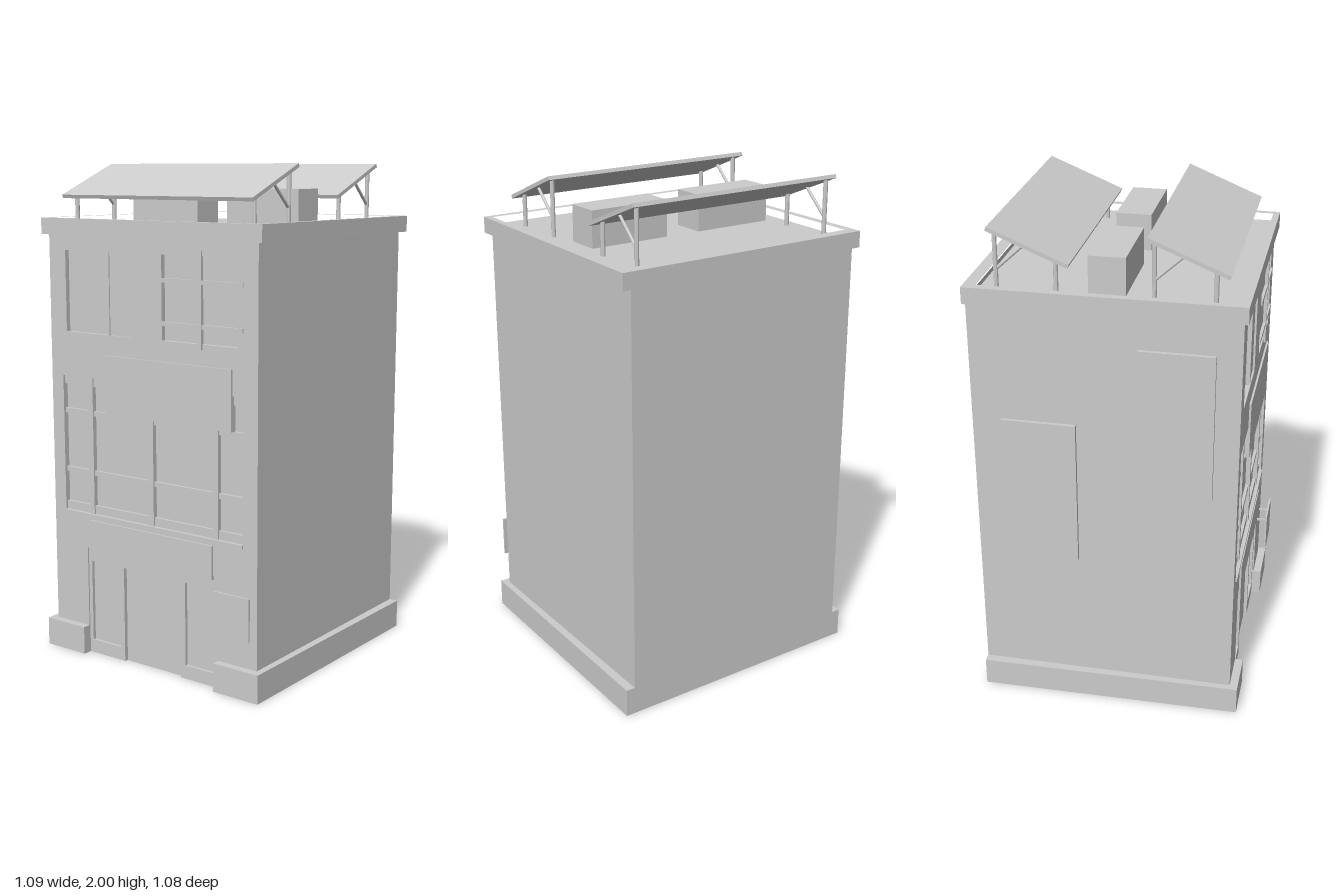
import * as THREE from 'three';

const material = new THREE.MeshStandardMaterial({ color: 0xcccccc, flatShading: true });
const thin = new THREE.MeshStandardMaterial({ color: 0xcccccc, flatShading: true, side: THREE.DoubleSide });
const FRONT = 0.49, BACK = -0.535, HALF = 0.51, WALL_TOP = 1.725;

function add(parent, name, geometry, mat = material) {
  const mesh = new THREE.Mesh(geometry, mat);
  mesh.name = name;
  parent.add(mesh);
  return mesh;
}

// Box given by its limits on each axis
function box(parent, name, x0, x1, y0, y1, z0, z1) {
  const mesh = add(parent, name, new THREE.BoxGeometry(x1 - x0, y1 - y0, z1 - z0));
  mesh.position.set((x0 + x1) / 2, (y0 + y1) / 2, (z0 + z1) / 2);
  return mesh;
}

// Round strut between two points
function strut(parent, name, a, b, radius) {
  const from = new THREE.Vector3(...a), to = new THREE.Vector3(...b);
  const dir = to.clone().sub(from);
  const mesh = add(parent, name, new THREE.CylinderGeometry(radius, radius, dir.length(), 8));
  mesh.position.copy(from).add(to).multiplyScalar(0.5);
  mesh.quaternion.setFromUnitVectors(new THREE.Vector3(0, 1, 0), dir.normalize());
}

const polygon = (points) => points.map(([x, y]) => new THREE.Vector2(x, y));
const rect = (x0, x1, y0, y1) => polygon([[x0, y0], [x1, y0], [x1, y1], [x0, y1]]);

// Extrudes a floor plan of [x, z] points upward
function plan(parent, name, outline, hole, y0, y1) {
  const flip = (pts) => polygon(pts.map(([x, z]) => [x, -z]));
  const shape = new THREE.Shape(flip(outline));
  if (hole) shape.holes.push(new THREE.Path(flip(hole)));
  const geometry = new THREE.ExtrudeGeometry(shape, { depth: y1 - y0, bevelEnabled: false });
  geometry.rotateX(-Math.PI / 2);
  add(parent, name, geometry).position.y = y0;
}

function addShell(group) {
  // Front wall with openings for the entrance and windows
  const shape = new THREE.Shape(polygon([
    [-HALF, 0], [-0.335, 0], [-0.335, 0.45], [0.33, 0.45], [0.33, 0],
    [HALF, 0], [HALF, WALL_TOP], [-HALF, WALL_TOP]]));
  for (const r of [[-0.45, 0.445, 0.595, 1.155], [-0.425, -0.08, 1.335, 1.66], [0.065, 0.42, 1.335, 1.66]])
    shape.holes.push(new THREE.Path(rect(...r)));
  add(group, 'frontWall', new THREE.ExtrudeGeometry(shape, { depth: 0.025, bevelEnabled: false })).position.z = FRONT - 0.025;

  // Side and back walls, open at the bottom
  for (const [name, side] of [['leftWall', 1], ['rightWall', -1]]) {
    const wall = add(group, name, new THREE.PlaneGeometry(FRONT - BACK, WALL_TOP), thin);
    wall.rotation.y = side * Math.PI / 2;
    wall.position.set(side * HALF, WALL_TOP / 2, (FRONT + BACK) / 2);
  }
  const back = add(group, 'backWall', new THREE.PlaneGeometry(2 * HALF, WALL_TOP), thin);
  back.rotation.y = Math.PI;
  back.position.set(0, WALL_TOP / 2, BACK);

  // Plinth on both sides, wrapping round to the entrance
  for (const [name, s, inner] of [['leftPlinth', 1, 0.33], ['rightPlinth', -1, 0.335]])
    plan(group, name, [[s * HALF, BACK], [s * 0.547, BACK], [s * 0.536, 0.523],
      [s * inner, 0.523], [s * inner, FRONT], [s * HALF, FRONT]], null, 0, 0.115);

  // Parapet and roof
  plan(group, 'parapet', [[-0.545, -0.538], [0.545, -0.538], [0.536, 0.507], [-0.536, 0.507]],
    [[-HALF, -0.49], [HALF, -0.49], [HALF, 0.48], [-HALF, 0.48]], 1.72, 1.785);
  const roof = add(group, 'roof', new THREE.PlaneGeometry(2 * HALF, 0.98), thin);
  roof.rotation.x = -Math.PI / 2;
  roof.position.set(0, 1.755, -0.005);
}

function addEntrance(parent) {
  const group = new THREE.Group();
  group.name = 'entrance';
  parent.add(group);
  box(group, 'door', -0.145, 0.14, 0, 0.395, 0.46, 0.47);
  box(group, 'lintel', -0.335, 0.33, 0.395, 0.45, 0.46, 0.484);
  for (const [x0, x1] of [[-0.335, -0.318], [-0.17, -0.147], [0.142, 0.165], [0.31, 0.33]])
    box(group, 'doorPost', x0, x1, 0, 0.395, 0.46, 0.484);
  for (const [x0, x1] of [[-0.318, -0.17], [0.165, 0.31]]) {
    box(group, 'sidePane', x0, x1, 0.055, 0.395, 0.46, 0.471);
    box(group, 'sidePanel', x0, x1, 0, 0.055, 0.46, 0.484);
  }
}

function addWindows(parent) {
  const group = new THREE.Group();
  group.name = 'windows';
  parent.add(group);
  // Wide middle window
  box(group, 'widePane', -0.45, 0.445, 0.595, 1.155, 0.455, 0.467);
  box(group, 'wideSill', -0.45, 0.445, 0.582, 0.596, 0.465, 0.496);
  for (const [y0, y1] of [[0.596, 0.63], [0.755, 0.775], [1.0, 1.02], [1.12, 1.155]])
    box(group, 'wideRail', -0.45, 0.445, y0, y1, 0.465, 0.48);
  for (const x of [-0.31, 0, 0.313])
    box(group, 'wideMullion', x - 0.013, x + 0.013, 0.596, 1.155, 0.465, 0.486);
  // Upper windows
  box(group, 'slidingPane', -0.425, -0.2, 1.335, 1.66, 0.455, 0.47);
  box(group, 'fixedPane', -0.2, -0.08, 1.335, 1.66, 0.455, 0.482);
  box(group, 'slidingMullion', -0.215, -0.2, 1.335, 1.66, 0.465, 0.487);
  box(group, 'barredPane', 0.065, 0.42, 1.335, 1.66, 0.455, 0.47);
  box(group, 'verticalBar', 0.242, 0.258, 1.315, 1.68, 0.484, 0.498);
  for (const y of [1.4, 1.565])
    box(group, 'horizontalBar', 0.05, 0.445, y - 0.008, y + 0.008, 0.484, 0.496);
  // Shallow panels on the right wall
  box(group, 'rearSidePanel', -0.525, -0.505, 0.655, 1.25, -0.42, -0.13);
  box(group, 'frontSidePanel', -0.525, -0.505, 0.985, 1.58, 0.105, 0.395);
}

function addSigns(parent) {
  box(parent, 'upperSignboard', -0.22, 0.395, 1.02, 1.255, 0.47, 0.498);
  box(parent, 'entranceSignboard', -0.312, 0.305, 0.435, 0.57, 0.47, 0.498);
  box(parent, 'hangingSign', 0.34, 0.505, 0.24, 0.41, 0.53, 0.538);
  for (const x of [0.37, 0.46])
    box(parent, 'signBracket', x - 0.004, x + 0.004, 0.371, 0.379, FRONT, 0.532);
}

// Tilted roof panel on four legs with two braces
function addSolarPanel(parent, name, z) {
  const group = new THREE.Group();
  group.name = name;
  group.position.z = z;
  parent.add(group);
  const low = [0.433, 1.868], high = [0.133, 1.99];
  const dz = low[0] - high[0], dy = high[1] - low[1];
  const slab = add(group, 'panel', new THREE.BoxGeometry(0.93, 0.015, Math.hypot(dz, dy)));
  slab.rotation.x = Math.atan2(dy, dz);
  slab.position.set(-0.02, (low[1] + high[1]) / 2, (low[0] + high[0]) / 2);
  for (const x of [-0.455, 0.415]) {
    strut(group, 'rearLeg', [x, 1.755, 0.156], [x, 1.975, 0.156], 0.009);
    strut(group, 'frontLeg', [x, 1.755, 0.38], [x, 1.885, 0.38], 0.009);
    strut(group, 'brace', [x, 1.83, 0.156], [x, 1.93, 0.265], 0.006);
  }
}

export function createModel() {
  const model = new THREE.Group();
  model.name = 'building';
  addShell(model);
  addEntrance(model);
  addWindows(model);
  addSigns(model);
  // Rooftop equipment
  for (const x of [-0.44, 0.05]) box(model, 'roofUnit', x, x + 0.34, 1.755, 1.9, -0.09, 0.05);
  addSolarPanel(model, 'frontSolarPanel', 0);
  addSolarPanel(model, 'rearSolarPanel', -0.585);
  return model;
}
